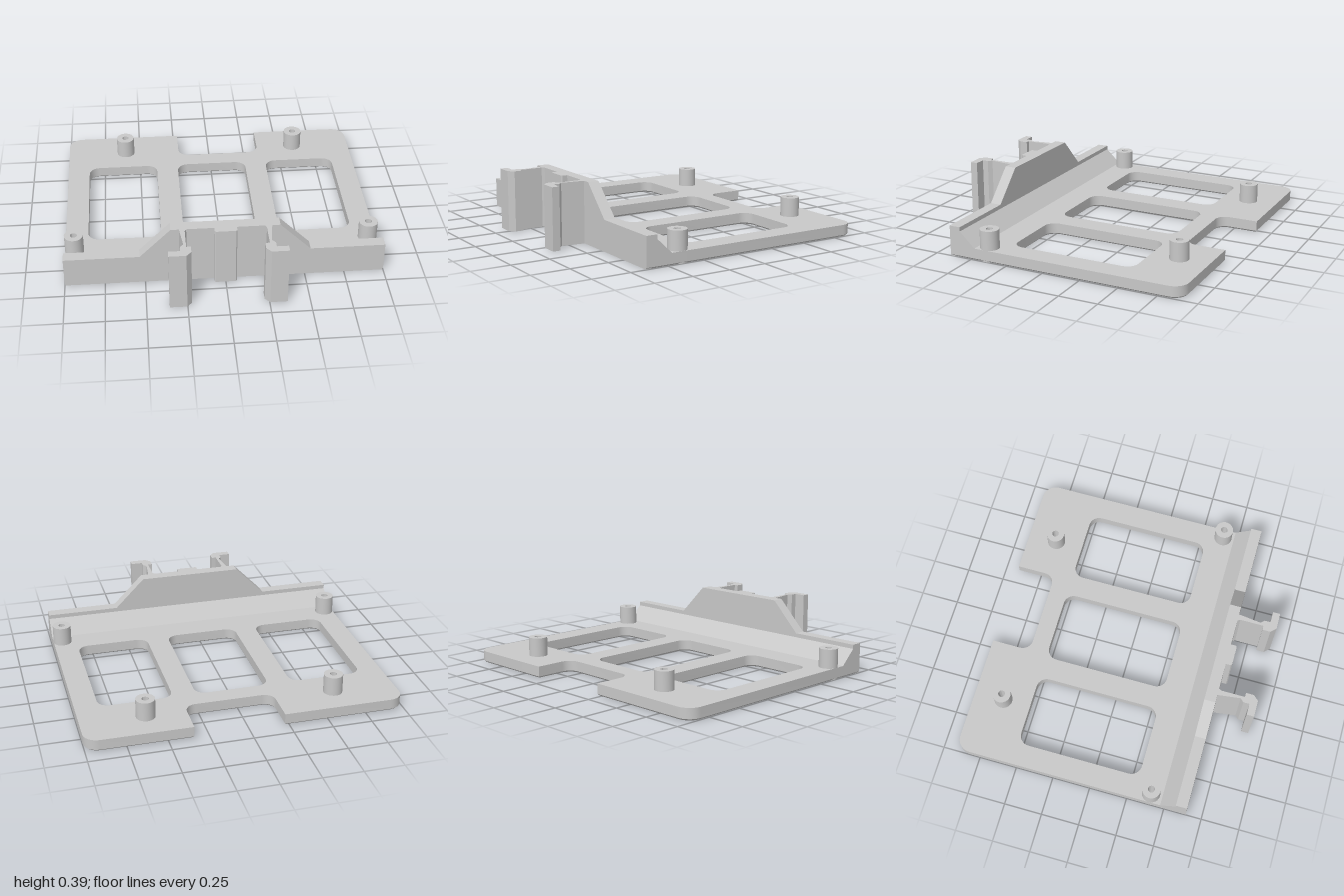
import * as THREE from 'three';
import { toCreasedNormals } from 'three/addons/utils/BufferGeometryUtils.js';

const grey = new THREE.MeshStandardMaterial({ color: 0xc8c8c8 });
grey.name = 'light grey plastic';

// Closed polygon from [x, y, cornerRadius] entries
function roundedPath(points, path) {
  const n = points.length;
  const v = points.map(p => new THREE.Vector2(p[0], p[1]));
  points.forEach(([, , r = 0], i) => {
    const p = v[i];
    const a = v[(i + n - 1) % n].clone().sub(p).normalize();
    const b = v[(i + 1) % n].clone().sub(p).normalize();
    const start = p.clone().addScaledVector(a, r);
    if (i === 0) path.moveTo(start.x, start.y);
    else path.lineTo(start.x, start.y);
    if (r > 0) {
      const c1 = p.clone().addScaledVector(a, r * 0.448);
      const c2 = p.clone().addScaledVector(b, r * 0.448);
      const end = p.clone().addScaledVector(b, r);
      path.bezierCurveTo(c1.x, c1.y, c2.x, c2.y, end.x, end.y);
    }
  });
  path.closePath();
  return path;
}

const shapeOf = points => roundedPath(points, new THREE.Shape());

// Extrudes an x/z plan between two heights
function planSolid(shape, y0, y1) {
  return new THREE.ExtrudeGeometry(shape, { depth: y1 - y0, bevelEnabled: false, curveSegments: 8 })
    .rotateX(Math.PI / 2).translate(0, y1, 0);
}

export function createModel() {
  const group = new THREE.Group();
  const add = (name, geometry) => {
    const mesh = new THREE.Mesh(toCreasedNormals(geometry, 0.5), grey);
    mesh.name = name;
    group.add(mesh);
    return mesh;
  };

  const posts = [[-0.598, -0.711], [0.597, -0.711], [-0.94, 0.398], [0.94, 0.398]];

  // Base plate with back notch, three windows and post holes
  const plate = shapeOf([
    [-1, -0.906, 0.09], [-0.223, -0.906], [-0.223, -0.647, 0.07], [0.343, -0.647, 0.07],
    [0.343, -0.906], [1, -0.906, 0.09], [1, 0.647], [-1, 0.647],
  ]);
  for (const [x0, x1] of [[-0.855, -0.384], [-0.238, 0.237], [0.382, 0.852]]) {
    plate.holes.push(roundedPath([
      [x0, -0.527, 0.07], [x0, 0.293, 0.07], [x1, 0.293, 0.07], [x1, -0.527, 0.07],
    ], new THREE.Path()));
  }
  for (const [x, z] of posts) {
    plate.holes.push(new THREE.Path().absarc(x, z, 0.03, 0, Math.PI * 2, true));
  }
  add('basePlate', planSolid(plate, 0.01, 0.075));

  // Small chamfer around the underside
  add('plateUndersideChamfer', new THREE.ExtrudeGeometry(plate, {
    depth: 0.01, bevelEnabled: true, bevelThickness: 0.01, bevelSize: 0.01,
    bevelOffset: -0.01, bevelSegments: 1, curveSegments: 8,
  }).rotateX(Math.PI / 2).translate(0, 0.02, 0));

  // Square lower edge under the front wall
  add('frontLowerEdge', new THREE.BoxGeometry(1.99, 0.02, 0.03).translate(0, 0.01, 0.632));

  // Hollow mounting posts
  const postProfile = [[0.022, 0], [0.06, 0], [0.06, 0.198], [0.022, 0.198], [0.022, 0]]
    .map(p => new THREE.Vector2(...p));
  posts.forEach(([x, z], i) => {
    add('mountingPost' + (i + 1), new THREE.LatheGeometry(postProfile, 32)).position.set(x, 0, z);
  });

  // Front wall with sloped foot, profile (-z, y) swept along x
  const wall = shapeOf([
    [-0.647, 0.01], [-0.474, 0.01], [-0.474, 0.075], [-0.574, 0.17], [-0.574, 0.197], [-0.647, 0.197],
  ]);
  add('frontWall', new THREE.ExtrudeGeometry(wall, { depth: 2, bevelEnabled: false })
    .rotateY(Math.PI / 2).translate(-1, 0, 0));

  // Raised middle of the wall
  const raised = shapeOf([[-0.53, 0.197], [0.53, 0.197], [0.336, 0.393], [-0.336, 0.393]]);
  add('raisedWall', new THREE.ExtrudeGeometry(raised, { depth: 0.073, bevelEnabled: false })
    .translate(0, 0, 0.574));

  // Mirrored snap hooks
  const hook = [
    [0.285, 0.644], [0.266, 0.794], [0.287, 0.817], [0.287, 0.856], [0.36, 0.856], [0.36, 0.904],
    [0.253, 0.904], [0.222, 0.87], [0.222, 0.818], [0.25, 0.818], [0.25, 0.664], [0.238, 0.644],
  ];
  for (const [side, name] of [[1, 'leftHook'], [-1, 'rightHook']]) {
    add(name, planSolid(shapeOf(hook.map(([x, z]) => [x * side, z])), 0, 0.393));
  }

  // Centre rib between the hooks, with slightly chamfered front edges
  const rib = [[-0.069, 0.644], [0.069, 0.644], [0.069, 0.68], [0.062, 0.687], [-0.062, 0.687], [-0.069, 0.68]];
  add('centreRib', planSolid(shapeOf(rib), 0, 0.393));

  return group;
}
